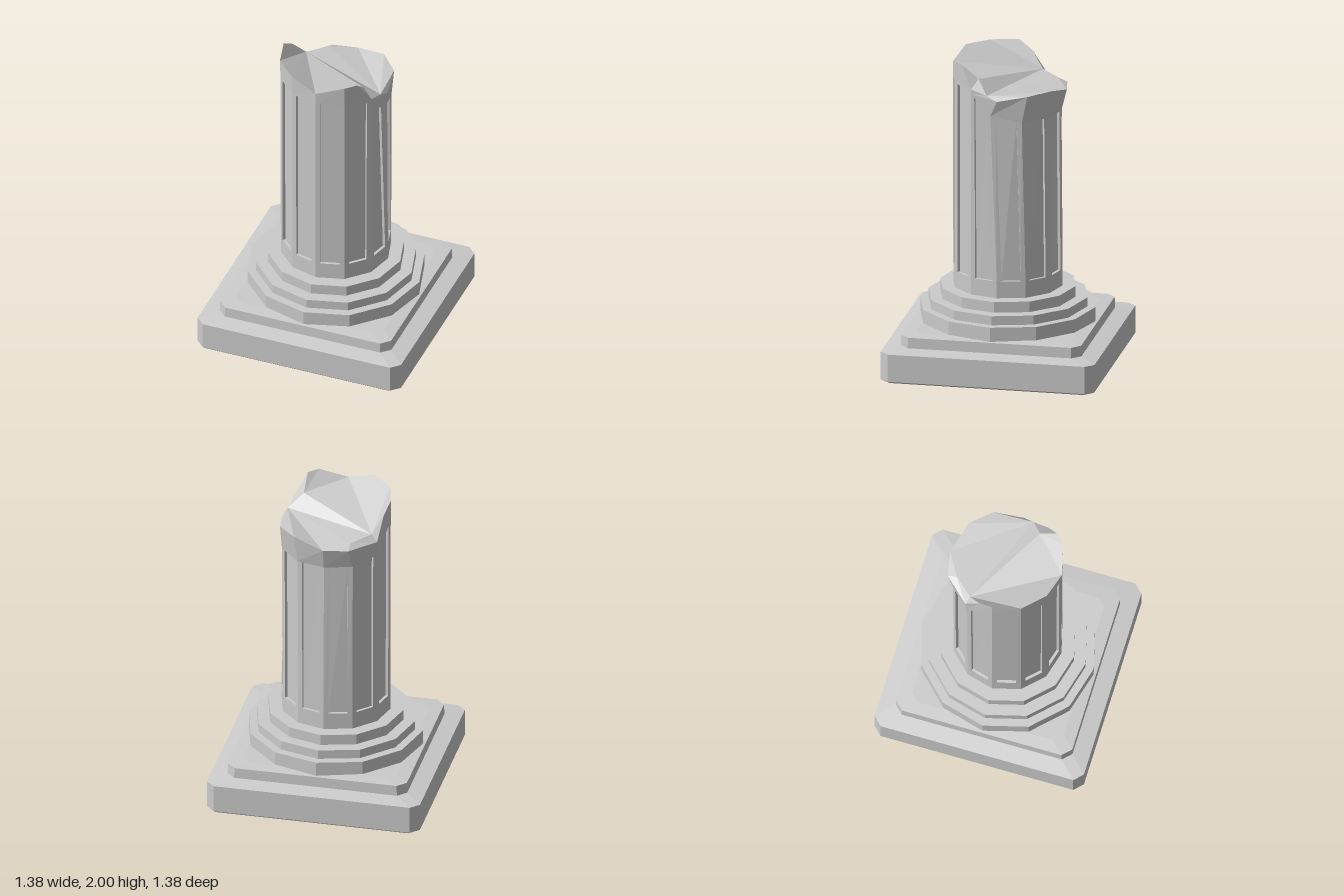
import * as THREE from 'three';

const material = new THREE.MeshStandardMaterial({ color: 0xcccccc, flatShading: true });
const V = (x, y, z) => new THREE.Vector3(x, y, z);
const SIDES = 12;

// Collects flat faces, corners counter-clockwise seen from outside
class Faces {
  constructor() { this.points = []; }
  tri(a, b, c) { this.points.push(a, b, c); }
  quad(a, b, c, d) { this.tri(a, b, c); this.tri(a, c, d); }
  fan(list) { for (let i = 1; i < list.length - 1; i++) this.tri(list[0], list[i], list[i + 1]); }
  mesh(name) {
    const geometry = new THREE.BufferGeometry().setFromPoints(this.points);
    geometry.computeVertexNormals();
    const mesh = new THREE.Mesh(geometry, material);
    mesh.name = name;
    return mesh;
  }
}

// Square slab with cut corners, lofted through [half width, height] levels
function slab(name, levels, cut) {
  const faces = new Faces();
  const rings = levels.map(([h, y]) => {
    const k = h - cut;
    return [[h, -k], [h, k], [k, h], [-k, h], [-h, k], [-h, -k], [-k, -h], [k, -h]]
      .map(([x, z]) => V(x, y, z));
  });
  for (let r = 0; r < rings.length - 1; r++) {
    const lo = rings[r], hi = rings[r + 1];
    lo.forEach((p, i) => {
      const j = (i + 1) % 8;
      faces.quad(lo[j], p, hi[i], hi[j]);
    });
  }
  faces.fan(rings[0]);
  faces.fan([...rings[rings.length - 1]].reverse());
  return faces.mesh(name);
}

function ring(radius, y) {
  return Array.from({ length: SIDES }, (_, i) => {
    const a = (i * Math.PI * 2) / SIDES;
    return V(radius * Math.cos(a), y, radius * Math.sin(a));
  });
}

// One shaft side with a sunken flute; corners bottom left, bottom right, top right, top left
function flutedSide(faces, bl, br, tr, tl) {
  const margin = 0.17, depth = 0.018;
  const mid = bl.clone().add(br).setY(0).normalize().multiplyScalar(-depth);
  const outer = [
    bl.clone().lerp(br, margin), br.clone().lerp(bl, margin),
    tr.clone().lerp(tl, margin), tl.clone().lerp(tr, margin),
  ];
  const inner = outer.map((p) => p.clone().add(mid));
  faces.quad(bl, outer[0], outer[3], tl);
  faces.quad(outer[1], br, tr, outer[2]);
  for (let i = 0; i < 4; i++) {
    const j = (i + 1) % 4;
    faces.quad(outer[i], outer[j], inner[j], inner[i]);
  }
  faces.quad(...inner);
}

function brokenShaft() {
  const group = new THREE.Group();
  group.name = 'shaft';
  const foot = ring(0.353, 0.49);
  const fluteBottom = ring(0.353, 0.61);

  // Tops of the flutes: level at the front, lower and leaning at the back
  const fluteTop = ring(0.355, 1.86);
  fluteTop[0].set(0.337, 1.70, 0.045);
  fluteTop[1].set(0.31, 1.83, 0.175);
  fluteTop[7].set(-0.31, 1.70, -0.18);
  fluteTop[8].set(-0.18, 1.67, -0.31);
  fluteTop[9].set(0, 1.66, -0.345);
  fluteTop[10].set(0.18, 1.66, -0.30);
  fluteTop[11].set(0.315, 1.66, -0.155);

  // Jagged rim, with extra points where the break crosses a side
  const rim = [
    V(0.35, 1.80, 0), V(0.31, 1.86, 0.175), V(0.18, 2, 0.31), V(0, 1.94, 0.355),
    V(-0.18, 2, 0.31), V(-0.31, 2, 0.18), V(-0.355, 2, 0), V(-0.31, 1.80, -0.19),
    V(-0.16, 1.80, -0.35), V(0, 1.80, -0.38), V(0.2, 1.845, -0.32), V(0.32, 1.835, -0.19),
  ];
  const creaseRight = V(0.33, 1.83, 0.07), frontCorner = V(0.24, 2, 0.25);
  const leftStep = V(-0.33, 1.94, -0.09);
  const extra = { 0: [creaseRight], 1: [frontCorner], 6: [leftStep] };

  const sides = new Faces(), band = new Faces();
  for (let i = 0; i < SIDES; i++) {
    const j = (i + 1) % SIDES;
    sides.quad(foot[j], foot[i], fluteBottom[i], fluteBottom[j]);
    flutedSide(sides, fluteBottom[j], fluteBottom[i], fluteTop[i], fluteTop[j]);
    band.fan([fluteTop[j], fluteTop[i], rim[i], ...(extra[i] || []), rim[j]]);
  }

  // Fracture: a slope rising to the front, a low shelf behind, chipped corners
  const top = new Faces();
  const creaseLeft = V(-0.27, 1.84, -0.17), chipBack = V(-0.16, 1.825, -0.29);
  const notch = V(0.24, 1.91, 0.14);
  top.fan([creaseLeft, leftStep, rim[6], rim[5], rim[4], rim[3], notch, creaseRight]);
  top.fan([notch, rim[3], rim[2], frontCorner, rim[1], creaseRight]);
  top.fan([creaseRight, rim[0], rim[11], rim[10], rim[9], chipBack, creaseLeft]);
  top.fan([chipBack, rim[9], rim[8], rim[7], creaseLeft]);
  top.tri(creaseLeft, rim[7], leftStep);

  group.add(sides.mesh('flutedSides'), band.mesh('brokenRim'), top.mesh('fractureSurface'));
  return group;
}

export function createModel() {
  const model = new THREE.Group();
  model.name = 'brokenColumn';

  // Square base slabs
  model.add(slab('lowerPlinth', [[0.68, 0], [0.69, 0.01], [0.69, 0.19], [0.58, 0.207]], 0.055));
  model.add(slab('upperPlinth', [[0.583, 0.2], [0.58, 0.275], [0.5, 0.282]], 0.055));

  // Twelve-sided steps
  [[0.565, 0.27, 0.37], [0.512, 0.36, 0.43], [0.436, 0.42, 0.5]].forEach(([r, y0, y1], i) => {
    const step = new THREE.Mesh(new THREE.CylinderGeometry(r, r, y1 - y0, SIDES), material);
    step.position.y = (y0 + y1) / 2;
    step.name = `baseStep${i + 1}`;
    model.add(step);
  });

  model.add(brokenShaft());
  return model;
}
